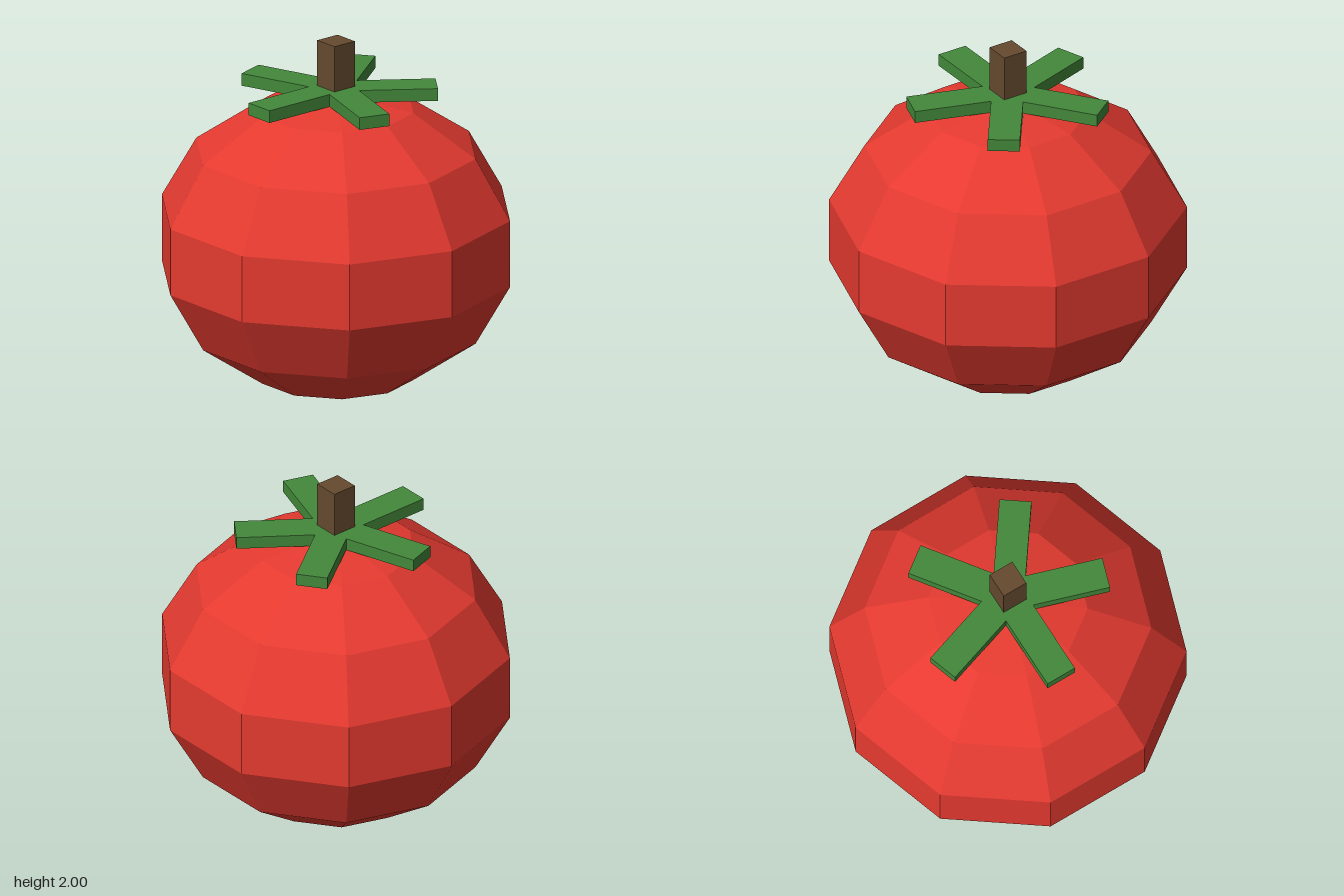
import * as THREE from 'three';

const material = (color) => new THREE.MeshStandardMaterial({ color, flatShading: true });

function addPart(group, name, geometry, color) {
  const mesh = new THREE.Mesh(geometry, material(color));
  mesh.name = name;
  group.add(mesh);
  return mesh;
}

// Five-armed star of straight sepals, one pointing to the front
function calyxGeometry(arms, length, width, thickness) {
  const half = width / 2;
  const step = (Math.PI * 2) / arms;
  const notch = half / Math.sin(step / 2);
  const points = [];
  for (let i = 0; i < arms; i++) {
    const a = -Math.PI / 2 + i * step;
    const dir = new THREE.Vector2(Math.cos(a), Math.sin(a));
    const side = new THREE.Vector2(-dir.y, dir.x);
    points.push(
      dir.clone().multiplyScalar(length).addScaledVector(side, -half),
      dir.clone().multiplyScalar(length).addScaledVector(side, half),
      new THREE.Vector2(Math.cos(a + step / 2), Math.sin(a + step / 2)).multiplyScalar(notch)
    );
  }
  const geometry = new THREE.ExtrudeGeometry(new THREE.Shape(points), { depth: thickness, bevelEnabled: false });
  return geometry.rotateX(-Math.PI / 2);
}

export function createModel() {
  const group = new THREE.Group();
  group.name = 'tomato';

  // Squashed low-poly fruit
  const fruit = new THREE.SphereGeometry(1, 10, 7).scale(1, 0.85, 1);
  addPart(group, 'fruit', fruit, 0xe53a30).position.y = 0.852;

  // Green star on top
  addPart(group, 'calyx', calyxGeometry(5, 0.55, 0.175, 0.07), 0x43883a).position.y = 1.67;

  // Square stem, set into the calyx
  addPart(group, 'stem', new THREE.BoxGeometry(0.145, 0.3, 0.145), 0x654a2f).position.y = 1.85;

  return group;
}
